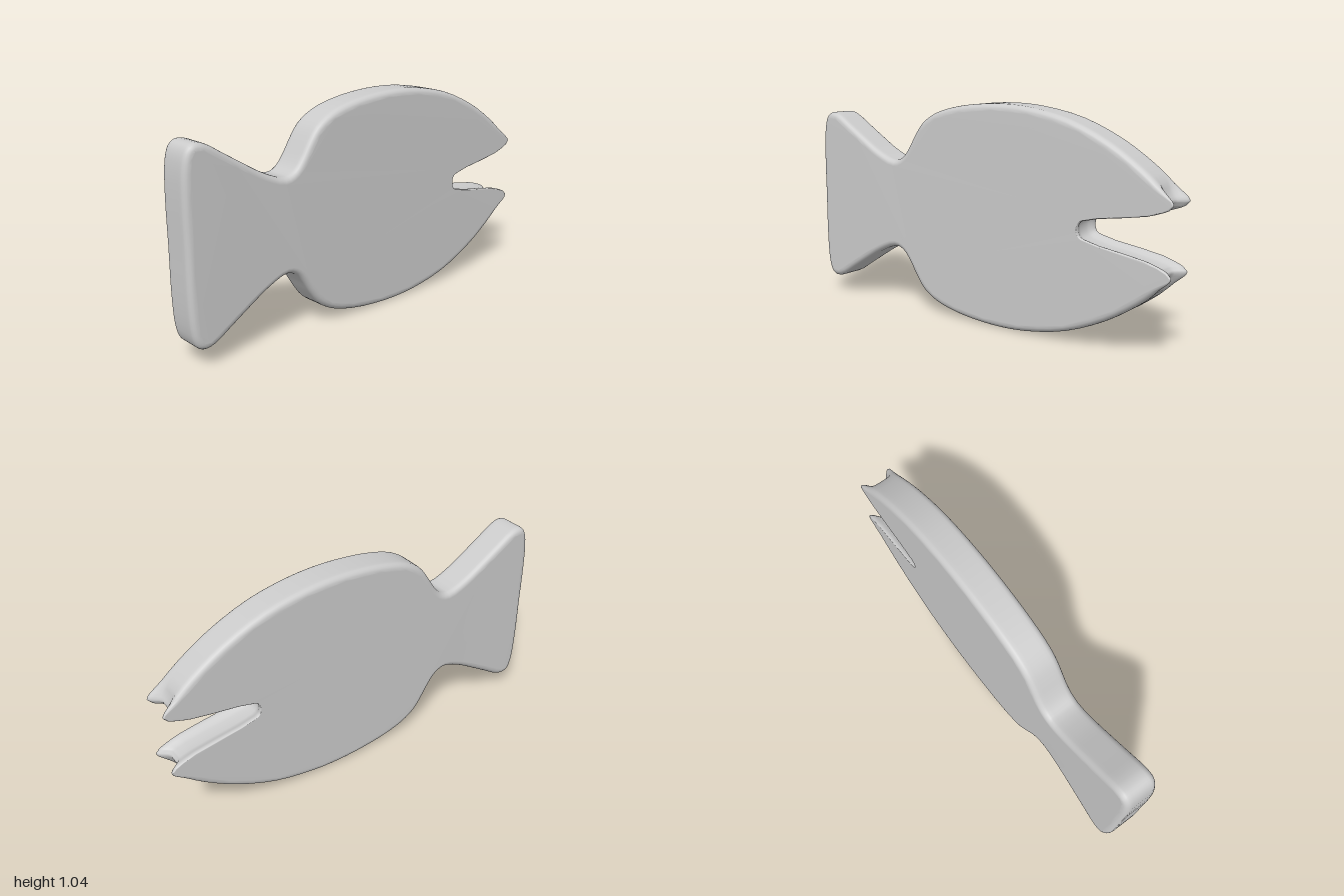
import * as THREE from 'three';

const MID = 0.518; // height of the mirror line

// Upper half of the outline: z, height above the mirror line, mouth weight
const PROFILE = [
  [1, 0, 0], [1, 0.23, 0], [0.99, 0.36, 0], [0.97, 0.415, 0], [0.94, 0.434, 0], [0.89, 0.427, 0],
  [0.8, 0.373, 0], [0.7, 0.311, 0], [0.6, 0.253, 0], [0.5, 0.218, 0], [0.45, 0.236, 0],
  [0.41, 0.282, 0], [0.37, 0.345, 0], [0.32, 0.41, 0], [0.24, 0.46, 0], [0.13, 0.492, 0],
  [0, 0.511, 0], [-0.15, 0.518, 0], [-0.3, 0.508, 0], [-0.5, 0.467, 0], [-0.7, 0.382, 0],
  [-0.85, 0.287, 0], [-0.95, 0.205, 0.1], [-0.998, 0.157, 0.5], [-0.99, 0.136, 0.8],
  [-0.96, 0.116, 1], [-0.88, 0.09, 1], [-0.58, 0.036, 1], [-0.563, 0.018, 1],
];

// Layers across the thickness
const HALF = [0.025, 0.04, 0.055, 0.064, 0.072, 0.078, 0.0815, 0.083];
const LAYERS = [...HALF.map((x) => -x).reverse(), 0, ...HALF];

const { smoothstep } = THREE.MathUtils;

function outline() {
  const upper = PROFILE.map(([z, h, w]) => new THREE.Vector3(z, h, w));
  const lower = upper.slice(1).reverse().map((p) => new THREE.Vector3(p.x, -p.y, p.z));
  const curve = new THREE.CatmullRomCurve3([...upper, ...lower], true, 'centripetal');
  const count = (upper.length + lower.length) * 3;
  return Array.from({ length: count }, (_, i) => curve.getPoint(i / count));
}

function fishGeometry() {
  const ring = outline();
  const n = ring.length;
  const positions = [];
  const index = [];

  // Rim: rounded toward both faces, hollowed along the mouth and jaw tips
  for (const x of LAYERS) {
    const a = Math.min(1, Math.max(0, (Math.abs(x) - 0.055) / 0.028));
    const round = 0.03 * (1 - Math.sqrt(1 - a * a));
    const hollow = 1 - smoothstep(Math.abs(x), 0.025, 0.08);
    ring.forEach((p, i) => {
      const prev = ring[(i + n - 1) % n];
      const next = ring[(i + 1) % n];
      const dir = new THREE.Vector2(next.x - prev.x, next.y - prev.y).normalize();
      const tip = smoothstep(-p.x, 0.9, 1);
      const mouth = Math.min(1, Math.max(0, p.z));
      const inset = round * (1 - 0.75 * Math.max(mouth, tip)) + 0.02 * mouth * (1 - tip) * hollow;
      const z = p.x - dir.y * inset + 0.05 * tip * hollow;
      const y = p.y + dir.x * inset + MID;
      positions.push(x, y, z);
    });
  }
  for (let k = 0; k < LAYERS.length - 1; k++) {
    for (let i = 0; i < n; i++) {
      const a = k * n + i;
      const b = k * n + ((i + 1) % n);
      index.push(a, a + n, b + n, a, b + n, b);
    }
  }

  // Flat side faces
  const last = (LAYERS.length - 1) * n;
  const face = ring.map((_, i) => new THREE.Vector2(positions[i * 3 + 2], positions[i * 3 + 1]));
  for (const [a, b, c] of THREE.ShapeUtils.triangulateShape(face, [])) {
    index.push(a, b, c, last + a, last + c, last + b);
  }

  const geometry = new THREE.BufferGeometry();
  geometry.setAttribute('position', new THREE.Float32BufferAttribute(positions, 3));
  geometry.setIndex(index);
  geometry.computeVertexNormals();
  return geometry;
}

export function createModel() {
  const group = new THREE.Group();
  group.name = 'fish';
  const body = new THREE.Mesh(fishGeometry(), new THREE.MeshStandardMaterial({ color: 0xcccccc }));
  body.name = 'fishBody';
  group.add(body);
  return group;
}
